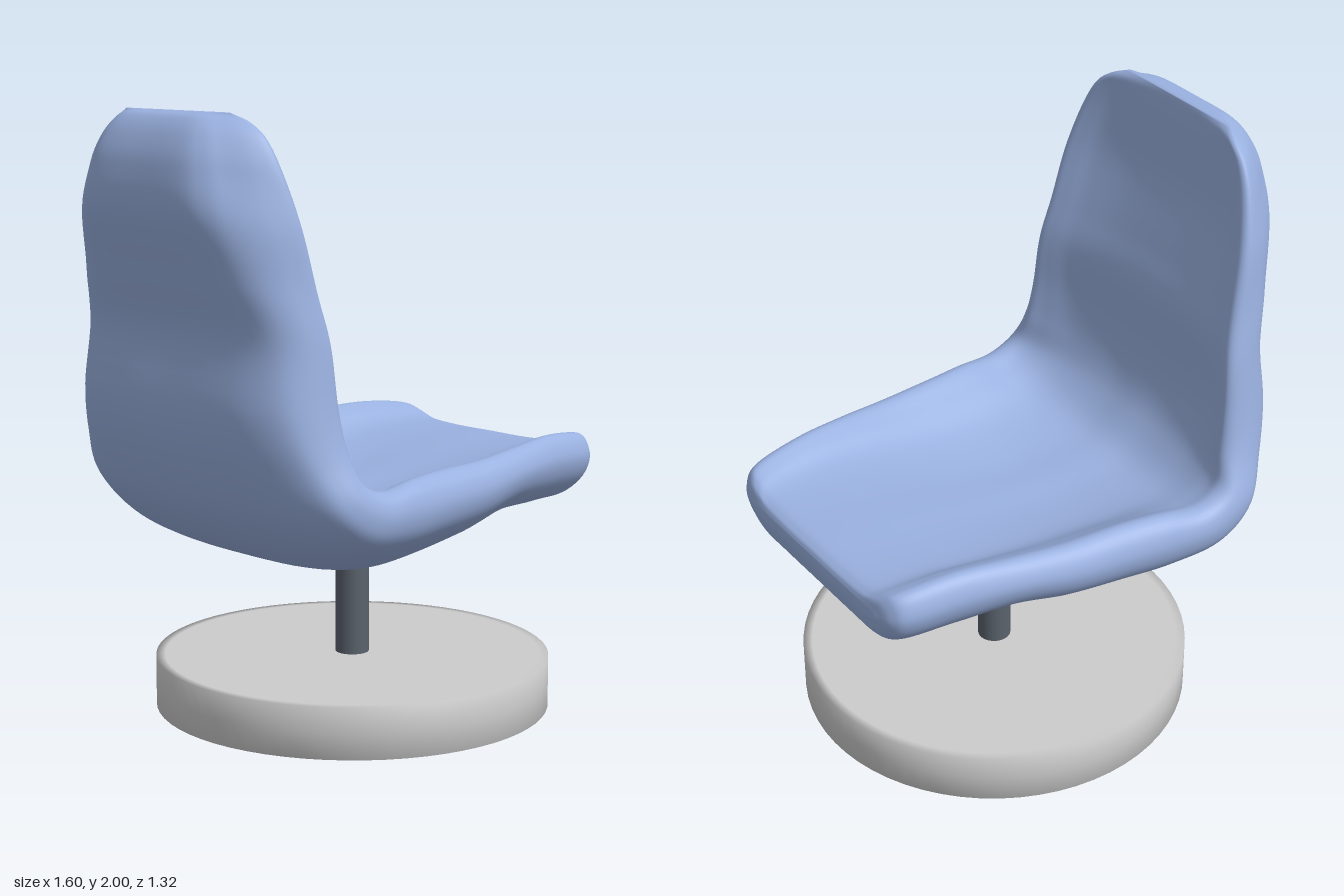
import * as THREE from 'three';

// Stations from the seat's front lip to the top of the backrest:
// [outer x, y,  inner x, y,  rim x, y,  half width]
const STATIONS = [
  [0.80, 0.77, 0.80, 0.81, 0.80, 0.81, 0.37],
  [0.778, 0.70, 0.785, 0.83, 0.782, 0.863, 0.435],
  [0.72, 0.67, 0.73, 0.845, 0.73, 0.895, 0.475],
  [0.55, 0.67, 0.55, 0.84, 0.55, 0.912, 0.51],
  [0.35, 0.66, 0.36, 0.81, 0.36, 0.90, 0.545],
  [0.15, 0.59, 0.17, 0.77, 0.17, 0.885, 0.575],
  [-0.05, 0.545, -0.03, 0.74, -0.02, 0.882, 0.595],
  [-0.25, 0.545, -0.20, 0.74, -0.17, 0.875, 0.615],
  [-0.45, 0.61, -0.37, 0.77, -0.31, 0.86, 0.63],
  [-0.60, 0.75, -0.47, 0.86, -0.40, 0.90, 0.62],
  [-0.68, 0.92, -0.52, 0.97, -0.43, 1.00, 0.575],
  [-0.71, 1.10, -0.535, 1.12, -0.45, 1.13, 0.545],
  [-0.69, 1.32, -0.53, 1.32, -0.465, 1.32, 0.52],
  [-0.74, 1.50, -0.565, 1.48, -0.495, 1.47, 0.495],
  [-0.80, 1.70, -0.61, 1.68, -0.535, 1.66, 0.47],
  [-0.79, 1.84, -0.62, 1.83, -0.57, 1.82, 0.425],
  [-0.755, 1.93, -0.625, 1.925, -0.59, 1.92, 0.375],
  [-0.71, 1.985, -0.63, 1.975, -0.605, 1.97, 0.315],
  [-0.665, 2.00, -0.635, 2.00, -0.635, 2.00, 0.25],
];

// Half cross-sections keyed by station: k = share of the half width,
// b = blend towards the rim (from the outer side up to index 6, then the inner)
const INNER_FROM = 7;
const FRONT = {
  k: [0, 0.45, 0.75, 0.93, 1, 0.97, 0.9, 0.8, 0.65, 0.35, 0],
  b: [0, 0, 0.03, 0.3, 0.62, 0.88, 1, 0.75, 0.2, 0, 0],
};
const BACK = {
  k: [0, 0.45, 0.64, 0.77, 0.91, 1, 0.96, 0.86, 0.7, 0.4, 0],
  b: [0, 0.01, 0.13, 0.34, 0.62, 0.9, 1, 0.8, 0.4, 0.07, 0],
};
const SECTIONS = [
  { at: 0, ...FRONT },
  { at: 3, ...FRONT },
  { // middle of the seat
    at: 6,
    k: [0, 0.4, 0.7, 0.93, 1, 0.97, 0.88, 0.75, 0.55, 0.25, 0],
    b: [0, 0.02, 0.15, 0.43, 0.68, 0.9, 1, 0.7, 0.22, 0, 0],
  },
  { // bend between seat and backrest
    at: 9,
    k: [0, 0.4, 0.7, 0.94, 1, 0.98, 0.9, 0.78, 0.55, 0.25, 0],
    b: [0, 0.02, 0.1, 0.36, 0.64, 0.9, 1, 0.7, 0.25, 0, 0],
  },
  { // lumbar, full towards the sides
    at: 12,
    k: [0, 0.4, 0.68, 0.87, 0.97, 1, 0.96, 0.86, 0.7, 0.4, 0],
    b: [0, 0, 0.06, 0.22, 0.5, 0.84, 1, 0.8, 0.4, 0.07, 0],
  },
  { at: 15, ...BACK },
  { at: STATIONS.length - 1, ...BACK },
];

// Cross-section blended between its two neighbouring keys
function sectionAt(station) {
  const n = Math.max(1, SECTIONS.findIndex((s) => s.at >= station));
  const p = SECTIONS[n - 1], q = SECTIONS[n];
  const f = THREE.MathUtils.smoothstep(station, p.at, q.at);
  const mix = (a, b) => a.map((v, j) => THREE.MathUtils.lerp(v, b[j], f));
  return { k: mix(p.k, q.k), b: mix(p.b, q.b) };
}

function shellGeometry(rows = 108, cols = 96) {
  const path = (f) => new THREE.CatmullRomCurve3(
    STATIONS.map((s) => new THREE.Vector3(...f(s))), false, 'catmullrom', 0.5);
  const outer = path((s) => [s[0], s[1], 0]);
  const inner = path((s) => [s[2], s[3], 0]);
  const rim = path((s) => [s[4], s[5], s[6]]); // z carries the half width

  const positions = [];
  const index = [];
  for (let r = 0; r <= rows; r++) {
    const t = r / rows;
    const o = outer.getPoint(t), i = inner.getPoint(t), e = rim.getPoint(t);
    const width = e.z;
    e.z = 0;
    const section = sectionAt(t * (STATIONS.length - 1));
    const half = section.k.map((k, j) => {
      const p = (j >= INNER_FROM ? i : o).clone().lerp(e, section.b[j]);
      p.z = k * width;
      return p;
    });
    const mirrored = half.slice(1, -1).reverse()
      .map((p) => new THREE.Vector3(p.x, p.y, -p.z));
    const loop = new THREE.CatmullRomCurve3([...half, ...mirrored], true, 'catmullrom', 0.5);
    for (let c = 0; c < cols; c++) positions.push(...loop.getPoint(c / cols).toArray());
  }
  for (let r = 0; r < rows; r++) {
    for (let c = 0; c < cols; c++) {
      const a = r * cols + c, b = r * cols + (c + 1) % cols;
      index.push(a, b, a + cols, b, b + cols, a + cols);
    }
  }
  // Close the thin ends with a fan
  for (const [row, front] of [[0, true], [rows, false]]) {
    const base = row * cols, center = positions.length / 3;
    const s = STATIONS[front ? 0 : STATIONS.length - 1];
    positions.push((s[0] + s[2]) / 2, (s[1] + s[3]) / 2, 0);
    for (let c = 0; c < cols; c++) {
      const a = base + c, b = base + (c + 1) % cols;
      if (front) index.push(center, b, a);
      else index.push(center, a, b);
    }
  }
  const geometry = new THREE.BufferGeometry();
  geometry.setAttribute('position', new THREE.Float32BufferAttribute(positions, 3));
  geometry.setIndex(index);
  geometry.computeVertexNormals();
  return geometry;
}

// Round foot with softly shaded edges
function baseGeometry(radius = 0.66, height = 0.17) {
  const profile = [
    [0, 0], [radius - 0.03, 0], [radius, 0], [radius, height / 2],
    [radius, height], [radius - 0.03, height], [0, height],
  ];
  return new THREE.LatheGeometry(profile.map((p) => new THREE.Vector2(...p)), 64);
}

export function createModel() {
  const group = new THREE.Group();
  group.name = 'swivelChair';

  const add = (name, geometry, color, x = 0, y = 0) => {
    const mesh = new THREE.Mesh(geometry, new THREE.MeshStandardMaterial({ color }));
    mesh.name = name;
    mesh.position.set(x, y, 0);
    group.add(mesh);
  };

  // One-piece padded seat and backrest
  add('seatShell', shellGeometry(), 0x9ab1e0);

  // Post and round foot
  add('post', new THREE.CylinderGeometry(0.056, 0.056, 0.47, 32), 0x5a626c, 0.093, 0.395);
  add('base', baseGeometry(), 0xcccccc, 0.093);

  return group;
}
